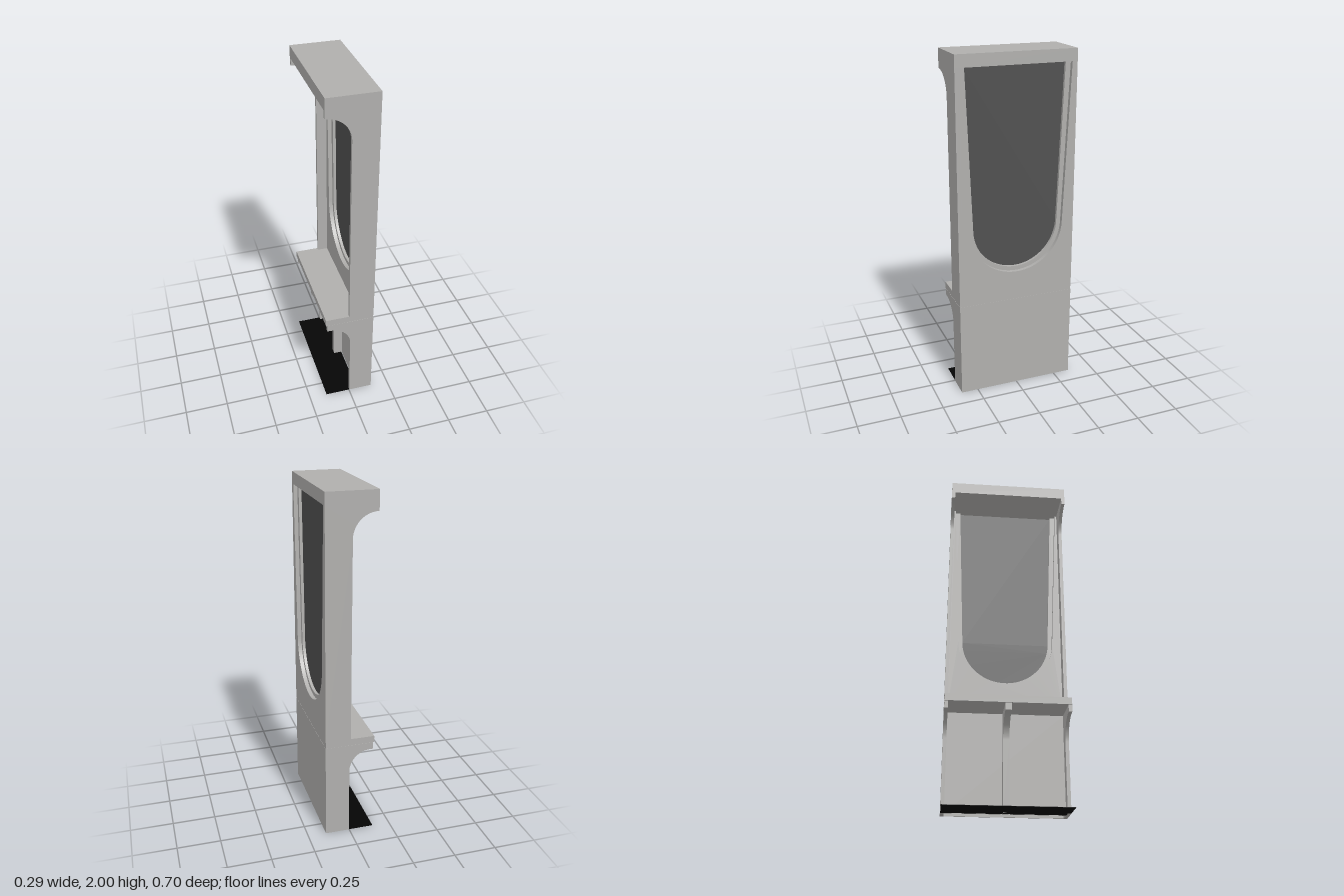
import * as THREE from 'three';

const stone = new THREE.MeshStandardMaterial({ color: 0xb0afad });
stone.name = 'warm grey';
const dark = new THREE.MeshStandardMaterial({ color: 0x505050 });
dark.name = 'dark grey';
const black = new THREE.MeshStandardMaterial({ color: 0x050505 });
black.name = 'black';

const HALF = 0.35; // half the width along z
const WALL = 0.02; // side wall thickness
const FACE = 0.143; // x of the outer face
const INNER = 0.055; // x of the inner face

export function createModel() {
  const model = new THREE.Group();

  const add = (name, geometry, material) => {
    const mesh = new THREE.Mesh(geometry, material);
    mesh.name = name;
    model.add(mesh);
    return mesh;
  };

  // Box given by its limits on each axis
  const box = (name, x0, x1, y0, y1, z0, z1, material = stone) =>
    add(name, new THREE.BoxGeometry(x1 - x0, y1 - y0, z1 - z0), material)
      .position.set((x0 + x1) / 2, (y0 + y1) / 2, (z0 + z1) / 2);

  // Tapered opening with a round foot
  const archPath = (target, topHalf, radius, top) => {
    target.moveTo(-topHalf, top);
    target.lineTo(-radius, 1.02);
    target.absarc(0, 1.02, radius, Math.PI, Math.PI * 2, false);
    target.lineTo(topHalf, top);
    target.closePath();
    return target;
  };

  // Plate facing x, extruded from x0 to x1
  const plate = (name, shape, x0, x1, material) => {
    const g = new THREE.ExtrudeGeometry(shape, { depth: x1 - x0, bevelEnabled: false, curveSegments: 32 });
    g.rotateY(Math.PI / 2);
    g.translate(x0, 0, 0);
    add(name, g, material);
  };

  // Upper panel: two outer layers with a wide opening, a core with a narrow one
  const layers = [
    ['panelInnerLayer', INNER, 0.078, 0.32, 0.28],
    ['panelCore', 0.078, 0.12, 0.29, 0.255],
    ['panelOuterLayer', 0.12, FACE, 0.32, 0.28],
  ];
  for (const [name, x0, x1, topHalf, radius] of layers) {
    const z = HALF - WALL;
    const s = new THREE.Shape();
    s.moveTo(-z, 0.605);
    s.lineTo(z, 0.605);
    s.lineTo(z, 1.935);
    s.lineTo(-z, 1.935);
    s.closePath();
    s.holes.push(archPath(new THREE.Path(), topHalf, radius, 1.93));
    plate(name, s, x0, x1, stone);
  }
  plate('windowPane', archPath(new THREE.Shape(), 0.292, 0.257, 1.932), 0.095, 0.103, dark);

  // Bracket-shaped wall profile, with a concave curve below the lip
  const bracketWall = (name, back, front, lip, y0, y1, lipY, r, z, thickness) => {
    const s = new THREE.Shape();
    s.moveTo(back, y0);
    s.lineTo(back, y1);
    s.lineTo(lip, y1);
    s.lineTo(lip, lipY);
    s.lineTo(front - r, lipY);
    s.absarc(front - r, lipY - r, r, Math.PI / 2, 0, true);
    s.lineTo(front, y0);
    s.closePath();
    const g = new THREE.ExtrudeGeometry(s, { depth: thickness, bevelEnabled: false, curveSegments: 16 });
    g.translate(0, 0, z - thickness / 2);
    add(name, g, stone);
  };

  for (const side of [-1, 1]) {
    const z = side * (HALF - WALL / 2);
    bracketWall('upperSideWall', FACE, -0.005, -0.145, 0.605, 1.93, 1.89, 0.138, z, WALL);
    bracketWall('lowerSideWall', FACE, 0.002, -0.138, 0, 0.566, 0.525, 0.125, z, WALL);
  }
  bracketWall('centreBracket', INNER, 0.002, -0.138, 0, 0.566, 0.525, 0.125, 0, 0.035);

  // Header and shelf
  box('header', -0.145, FACE, 1.93, 2, -HALF, HALF);
  box('shelf', -0.145, 0.142, 0.566, 0.606, -0.349, 0.349);

  // Hollow lower panel, open at the foot
  const w = HALF - WALL;
  box('lowerOuterPanel', FACE - 0.006, FACE, 0, 0.566, -w, w);
  box('lowerInnerPanel', INNER, INNER + 0.006, 0, 0.566, -w, w);

  // Floor plate
  box('floorPlate', -0.145, INNER - 0.005, 0, 0.002, -HALF + 0.001, HALF - 0.001, black);

  return model;
}
